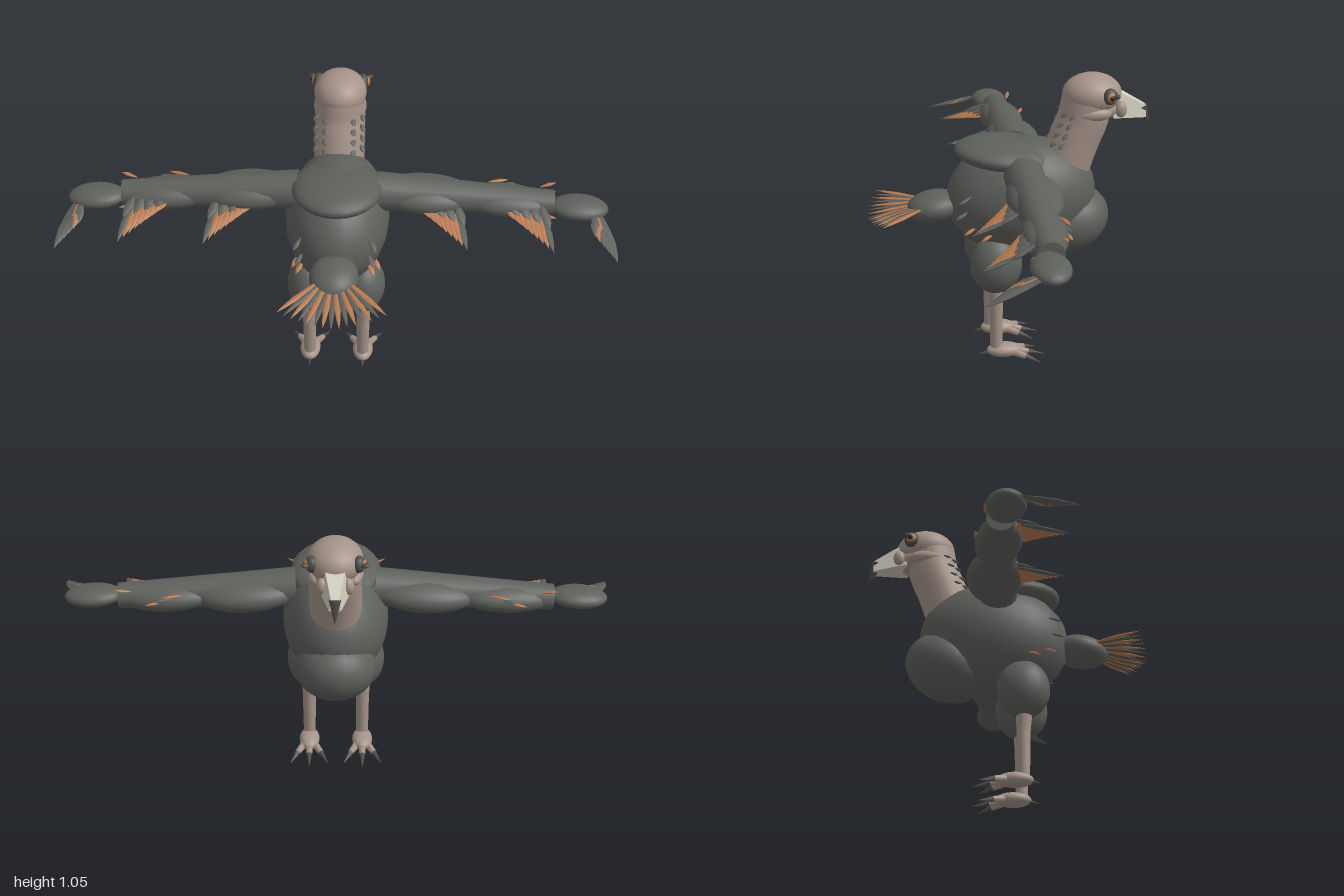
import * as THREE from 'three';

const mat = (name, color, side = THREE.FrontSide) => {
  const m = new THREE.MeshStandardMaterial({ color, side });
  m.name = name;
  return m;
};

export function createModel() {
  const root = new THREE.Group();
  root.name = 'bird';
  const plumage = mat('plumage grey', 0x5e605c);
  const skin = mat('bare skin', 0xa59389);
  const rust = mat('rust feather', 0xb87a50);
  const cream = mat('beak cream', 0xcfccbc);
  const horn = mat('dark horn', 0x514e4a);
  const pupilMat = mat('pupil', 0x2a2826);
  const V = (x, y, z) => new THREE.Vector3(x, y, z);
  const Y = V(0, 1, 0);

  const add = (name, geo, material, parent = root) => {
    const m = new THREE.Mesh(geo, material);
    m.name = name;
    parent.add(m);
    return m;
  };
  const group = (name, parent = root) => {
    const g = new THREE.Group();
    g.name = name;
    parent.add(g);
    return g;
  };
  const ball = new THREE.SphereGeometry(1, 24, 16);
  const egg = (name, p, r, material, parent, rx = 0, ry = 0, rz = 0) => {
    const m = add(name, ball, material, parent);
    m.position.set(...p);
    m.scale.set(...r);
    m.rotation.set(rx, ry, rz);
    return m;
  };
  // Tapered limb between two points
  const limb = (name, a, b, ra, rb, material, parent, sides = 12) => {
    const d = b.clone().sub(a);
    const m = add(name, new THREE.CylinderGeometry(rb, ra, d.length(), sides), material, parent);
    m.position.copy(a).addScaledVector(d, 0.5);
    m.quaternion.setFromUnitVectors(Y, d.normalize());
    return m;
  };
  // Pointed leaf blade, root at the origin, tip at +z
  const blade = new THREE.LatheGeometry(
    [[0.15, 0], [0.75, 0.3], [1, 0.6], [0.6, 0.82], [0, 1]].map(p => new THREE.Vector2(...p)), 6);
  blade.rotateX(Math.PI / 2);
  const feather = (name, a, b, w, material, parent, t = 0.005) => {
    const m = add(name, blade, material, parent);
    m.position.copy(a);
    m.lookAt(b);
    m.scale.set(w, t, a.distanceTo(b));
    return m;
  };

  // Torso
  egg('body', [0, 0.608, -0.052], [0.19, 0.215, 0.275], plumage, root, 0.12);
  egg('back', [0, 0.77, 0], [0.162, 0.055, 0.19], plumage, root, -0.09);
  egg('crop', [0, 0.503, -0.225], [0.145, 0.122, 0.155], plumage, root, 0.35);

  // Neck and head
  const neckLine = [[0.66, -0.2, 0.095], [0.74, -0.222, 0.098], [0.82, -0.25, 0.096],
    [0.89, -0.278, 0.09], [0.96, -0.292, 0.084]];
  const curve = new THREE.CatmullRomCurve3(neckLine.map(([y, z]) => V(0, y, z)));
  add('neck', new THREE.TubeGeometry(curve, 16, 0.092, 20), skin);
  egg('head', [0, 0.98, -0.31], [0.096, 0.076, 0.108], skin);
  egg('face', [0, 0.93, -0.345], [0.07, 0.045, 0.07], skin);

  // Beak lofted from rectangular sections: z, top, bottom, half width
  const loft = (name, rows, material) => {
    const pos = [], idx = [];
    rows.forEach(([z, t, b, w]) => pos.push(-w * 0.7, t, z, w * 0.7, t, z, w, b, z, -w, b, z));
    for (let r = 0; r < rows.length - 1; r++) {
      for (let i = 0; i < 4; i++) {
        const a = r * 4 + i, b = r * 4 + (i + 1) % 4;
        idx.push(a, b, a + 4, b, b + 4, a + 4);
      }
    }
    const e = (rows.length - 1) * 4;
    idx.push(0, 2, 1, 0, 3, 2, e, e + 1, e + 2, e, e + 2, e + 3);
    const g = new THREE.BufferGeometry();
    g.setAttribute('position', new THREE.Float32BufferAttribute(pos, 3));
    g.setIndex(idx);
    const flat = g.toNonIndexed();
    // Wind outward whatever the section order
    flat.computeVertexNormals();
    const p = flat.attributes.position, n = flat.attributes.normal;
    let vol = 0;
    for (let i = 0; i < p.count; i++) {
      vol += n.getX(i) * p.getX(i);
    }
    if (vol < 0) {
      for (let i = 0; i < p.count; i += 3) {
        const a = V().fromBufferAttribute(p, i), b = V().fromBufferAttribute(p, i + 1);
        p.setXYZ(i, b.x, b.y, b.z);
        p.setXYZ(i + 1, a.x, a.y, a.z);
      }
      flat.computeVertexNormals();
    }
    return add(name, flat, material);
  };
  loft('beak', [[-0.38, 1.0, 0.9, 0.055], [-0.43, 0.975, 0.895, 0.042], [-0.505, 0.932, 0.888, 0.02]], cream);
  limb('beakHook', V(0, 0.925, -0.49), V(0, 0.85, -0.522), 0.024, 0.001, horn, root, 6);

  // Tail
  egg('tailBase', [0, 0.575, 0.265], [0.088, 0.056, 0.1], plumage, root, 0.15);
  const tail = group('tailFan');
  for (let i = -7; i <= 7; i++) {
    const a = i * 0.083, len = 0.235 - Math.abs(i) * 0.001;
    feather('tailFeather', V(Math.sin(a) * 0.06, 0.588, 0.285),
      V(Math.sin(a) * 0.35, 0.537 + Math.abs(i) * 0.005, 0.275 + Math.cos(a) * len),
      0.013, i % 2 ? rust : plumage, tail);
  }

  for (const s of [1, -1]) {
    const side = s > 0 ? 'left' : 'right';
    const P = (x, y, z) => V(s * x, y, z);

    // Cheeks and eye
    egg(side + 'Cheek', [s * 0.066, 0.923, -0.305], [0.03, 0.027, 0.067], skin, root);
    egg(side + 'Jowl', [s * 0.045, 0.93, -0.408], [0.02, 0.03, 0.022], skin, root);
    const eye = group(side + 'Eye');
    eye.position.set(s * 0.08, 0.99, -0.362);
    eye.rotation.y = s * Math.PI / 2 + s * 0.2;
    egg('eyeSocket', [0, 0, 0], [0.028, 0.03, 0.022], horn, eye);
    egg('iris', [0, 0, 0.012], [0.019, 0.02, 0.016], rust, eye);
    egg('pupil', [0, 0, 0.02], [0.011, 0.012, 0.011], pupilMat, eye);
    feather('browTuft', P(0.08, 0.99, -0.375), P(0.118, 1.0, -0.388), 0.014, horn, root, 0.01);

    // Leg and foot
    const leg = group(side + 'Leg');
    egg('thigh', [s * 0.1, 0.375, 0.05], [0.08, 0.11, 0.096], plumage, leg);
    limb('knee', P(0.1, 0.3, 0.052), P(0.1, 0.215, 0.05), 0.031, 0.025, skin, leg);
    limb('shank', P(0.1, 0.22, 0.05), P(0.1, 0.03, 0.05), 0.025, 0.022, skin, leg);
    egg('foot', [s * 0.1, 0.03, 0.02], [0.038, 0.027, 0.066], skin, leg);
    for (const i of [-1, 0, 1]) {
      const mid = P(0.1 + i * 0.044, 0.017, -0.068 + Math.abs(i) * 0.012);
      limb('toe', P(0.1 + i * 0.012, 0.03, 0), mid, 0.016, 0.011, skin, leg, 8);
      limb('claw', mid, P(0.1 + i * 0.07, 0.002, -0.13 + Math.abs(i) * 0.025), 0.011, 0.001, horn, leg, 6);
    }
    limb('backClaw', P(0.1, 0.027, 0.06), P(0.1, 0.018, 0.112), 0.012, 0.001, horn, leg, 6);

    // Outstretched wing
    const wing = group(side + 'Wing');
    const bone = limb('wingArm', P(0.14, 0.73, -0.045), P(0.78, 0.692, -0.05), 0.07, 0.046, plumage, wing, 16);
    bone.scale.z = 1.05;
    egg('upperWing', [s * 0.32, 0.71, -0.06], [0.185, 0.06, 0.1], plumage, wing, 0, 0, -s * 0.05);
    egg('foreWing', [s * 0.61, 0.695, -0.053], [0.175, 0.052, 0.08], plumage, wing, 0, -s * 0.06, -s * 0.05);
    egg('hand', [s * 0.873, 0.685, -0.035], [0.105, 0.036, 0.068], plumage, wing, 0, 0, -s * 0.05);

    // Two swept fans of rust feathers, each under a short grey covert row
    for (const x0 of [0.28, 0.585]) {
      const fan = group('wingFan', wing);
      for (let i = 0; i < 8; i++) {
        const t = i / 7;
        const a = P(x0 + 0.02 + 0.125 * t, 0.71 - 0.01 * t, -0.01);
        feather('flightFeather', a, P(x0 + 0.06 + 0.13 * t, 0.685 - 0.045 * t, 0.055 + 0.125 * t),
          0.016, i === 7 ? plumage : rust, fan);
        if (i % 2) {
          feather('covert', a.clone().setY(a.y + 0.014),
            P(x0 + 0.05 + 0.13 * t, 0.695 - 0.02 * t, 0.035 + 0.045 * t), 0.018, plumage, fan);
        }
      }
      // Small tufts along the leading edge
      for (let i = 0; i < 3; i++) {
        const x = x0 - 0.04 + i * 0.03;
        feather('edgeTuft', P(x, 0.73 - i * 0.012, -0.115), P(x + 0.075, 0.727 - i * 0.015, -0.137),
          0.009, i === 1 ? plumage : rust, wing);
      }
    }
    for (let i = 0; i < 5; i++) {
      feather('wristTuft', P(0.73, 0.73 - i * 0.015, -0.09 + i * 0.022),
        P(0.79, 0.742 - i * 0.018, -0.105 + i * 0.03), 0.009, i % 2 ? plumage : rust, wing);
    }
    const tips = group('wingTip', wing);
    for (let i = 0; i < 6; i++) {
      const t = i / 5;
      feather('tipFeather', P(0.925 + 0.025 * t, 0.69 - 0.01 * t, 0),
        P(0.925 + 0.075 * t, 0.655 - 0.037 * t, 0.1 + 0.1 * t), 0.018, i === 1 ? rust : plumage, tips);
    }

    // Loose flakes on the flanks and the back of the neck
    [[0.64, 0.14], [0.58, 0.15], [0.52, 0.12], [0.5, 0.06]].forEach(([y, z], i) => {
      const dy = (y - 0.608) / 0.215, dz = (z + 0.052) / 0.275;
      const x = 0.19 * Math.sqrt(Math.max(0.1, 1 - dy * dy - dz * dz));
      feather('flankFlake', P(x - 0.01, y + 0.012, z), P(x + 0.015, y - 0.012, z + 0.05), 0.011,
        i > 1 ? rust : plumage, root);
    });
    for (let i = 0; i < 4; i++) {
      const y = 0.81 + i * 0.036, z = -0.175 - i * 0.013;
      feather('neckFlake', P(0.045, y + 0.012, z - 0.01), P(0.056, y - 0.008, z + 0.027), 0.012, plumage, root);
      feather('sideFlake', P(0.075, y + 0.012, z - 0.03), P(0.094, y - 0.008, z), 0.01, plumage, root);
    }
  }
  return root;
}
